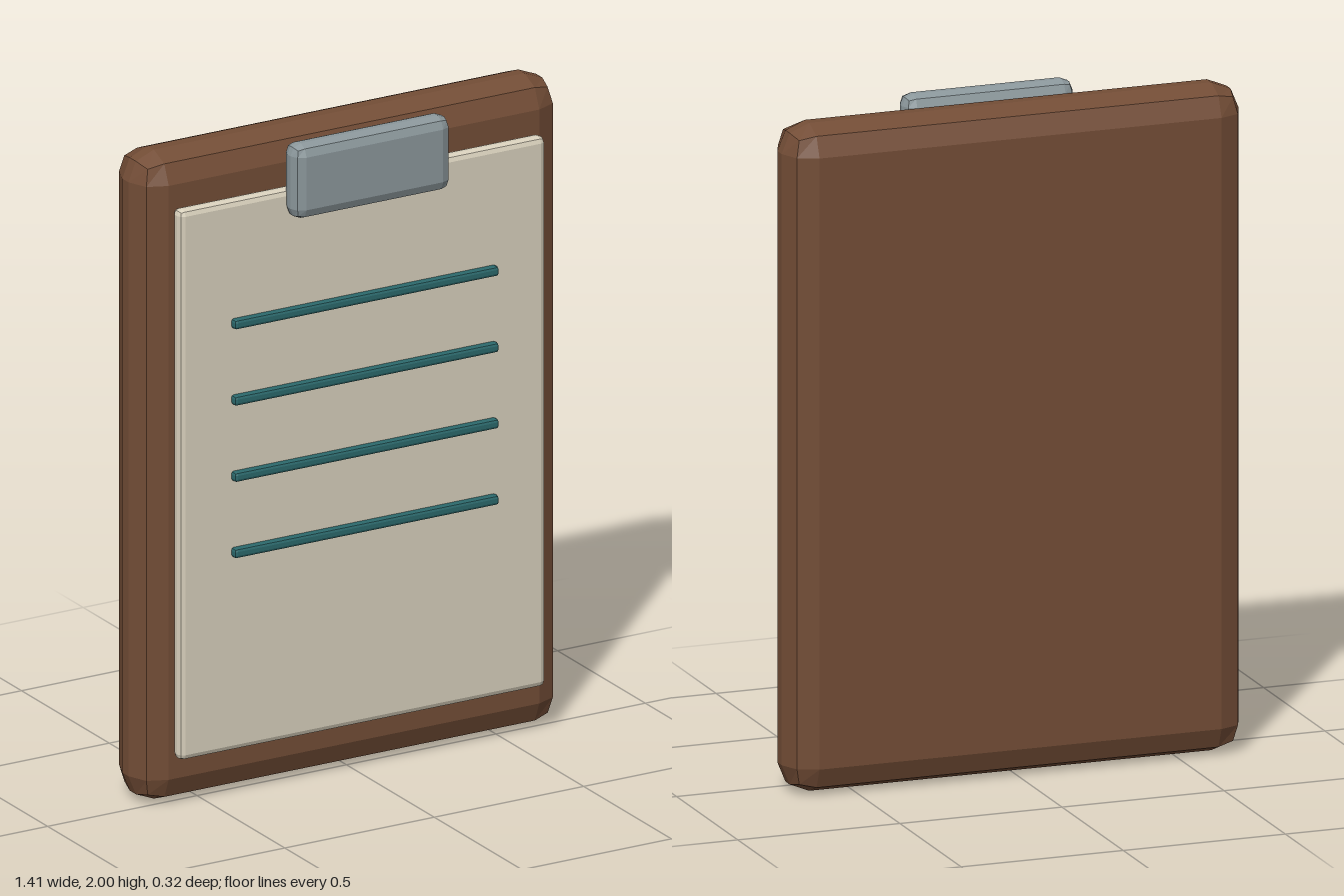
import * as THREE from 'three';
import { RoundedBoxGeometry } from 'three/addons/geometries/RoundedBoxGeometry.js';

// Low-poly rounded slab spanning y0..y1 and z0..z1, centred on x
function slab(name, width, y0, y1, z0, z1, radius, color) {
  const geometry = new RoundedBoxGeometry(width, y1 - y0, z1 - z0, 1, radius);
  const material = new THREE.MeshStandardMaterial({ color, flatShading: true });
  const mesh = new THREE.Mesh(geometry, material);
  mesh.name = name;
  mesh.position.set(0, (y0 + y1) / 2, (z0 + z1) / 2);
  return mesh;
}

export function createModel() {
  const model = new THREE.Group();
  model.name = 'clipboard';

  // Wooden backing board, paper sheet and metal clip
  model.add(slab('board', 1.41, 0, 2, -0.162, 0.043, 0.085, 0x734d36));
  model.add(slab('paper', 1.225, 0.155, 1.85, 0.048, 0.096, 0.018, 0xd8d0bc));
  model.add(slab('clip', 0.525, 1.77, 2, 0.076, 0.162, 0.034, 0x8b979b));

  // Written lines, evenly spaced down the sheet
  for (let i = 0; i < 4; i++) {
    const y = 1.475 - i * 0.235;
    model.add(slab('writtenLine' + (i + 1), 0.885, y - 0.015, y + 0.015, 0.09, 0.12, 0.009, 0x2b686b));
  }
  return model;
}
